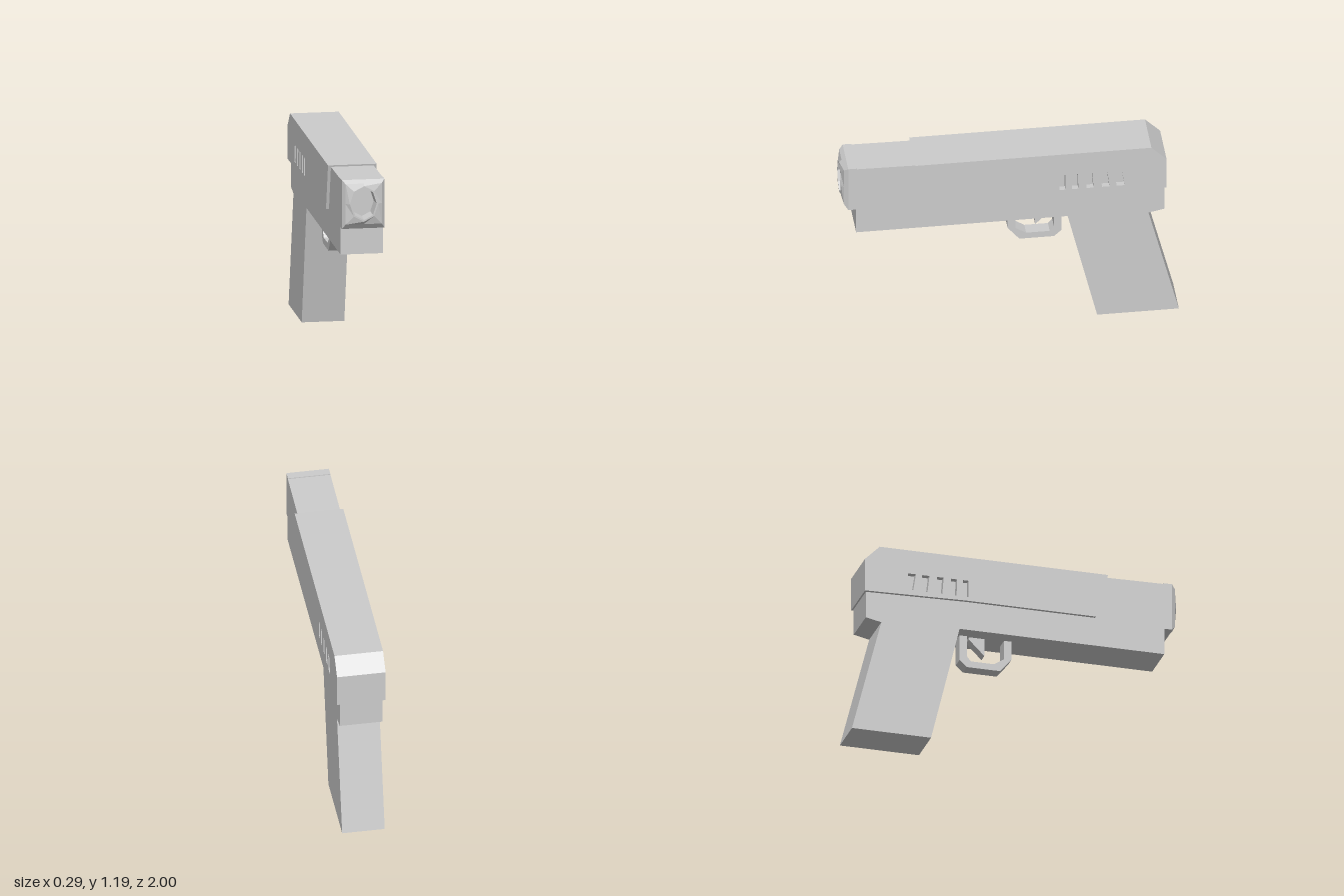
import * as THREE from 'three';

const material = new THREE.MeshStandardMaterial({ color: 0xcccccc, flatShading: true });

function addMesh(parent, name, geometry) {
  const mesh = new THREE.Mesh(geometry, material);
  mesh.name = name;
  parent.add(mesh);
  return mesh;
}

// Side profile given as [z, y] pairs, extruded between two x positions
function slab(profile, x0, x1, holes = []) {
  const toPoints = (list) => list.map(([z, y]) => new THREE.Vector2(z, y));
  const shape = new THREE.Shape(toPoints(profile));
  for (const hole of holes) shape.holes.push(new THREE.Path(toPoints(hole)));
  const geometry = new THREE.ExtrudeGeometry(shape, { depth: x1 - x0, bevelEnabled: false });
  return geometry.rotateY(-Math.PI / 2).translate(x1, 0, 0);
}

// Skin through rings of equal point count, counter-clockwise seen from +z
function skin(rings) {
  const n = rings[0].length;
  const index = [];
  for (let i = 0; i < rings.length - 1; i++) {
    for (let j = 0; j < n; j++) {
      const a = i * n + j, b = i * n + (j + 1) % n;
      index.push(a, b, b + n, a, b + n, a + n);
    }
  }
  const geometry = new THREE.BufferGeometry();
  geometry.setAttribute('position', new THREE.Float32BufferAttribute(rings.flat(2), 3));
  geometry.setIndex(index);
  const flat = geometry.toNonIndexed();
  flat.computeVertexNormals();
  return flat;
}

// Rectangle ring with points at the corners and edge middles
function rectRing(z, halfWidth, y0, y1) {
  const ym = 1.05, w = halfWidth;
  return [[w, ym, z], [w, y1, z], [0, y1, z], [-w, y1, z], [-w, ym, z], [-w, y0, z], [0, y0, z], [w, y0, z]];
}

// Eight-sided ring for the bore
function octRing(z, rx, ry) {
  return Array.from({ length: 8 }, (_, i) => {
    const a = i * Math.PI / 4;
    return [rx * Math.cos(a), 1.05 + ry * Math.sin(a), z];
  });
}

export function createModel() {
  const model = new THREE.Group();
  model.name = 'model';

  // Lower body with raked grip
  addMesh(model, 'frameAndGrip', slab([
    [0.915, 0.73], [0.915, 1.185], [0.55, 1.18], [0.48, 0.92], [-0.3, 0.92], [-0.915, 0.905],
    [-0.915, 0.73], [-0.82, 0.71], [-1, 0], [-0.515, 0], [-0.34, 0.73],
  ], -0.127, 0.127));

  // Upper slide: a core with a slotted plate on each side
  const slide = new THREE.Group();
  slide.name = 'slide';
  model.add(slide);
  const outline = [
    [0.565, 1.19], [-0.835, 1.19], [-0.925, 1.1], [-0.925, 0.895], [-0.3, 0.91], [0.49, 0.91],
  ];
  const slots = [-0.29, -0.36, -0.443, -0.53, -0.613].map((z, i) => {
    const width = 0.035 + i * 0.003, lean = i * 0.004;
    return [[z, 1.04], [z - width, 1.04], [z - width - lean, 0.935], [z - lean, 0.935]];
  });
  addMesh(slide, 'slideCore', slab(outline, -0.11, 0.11));
  addMesh(slide, 'leftSlidePlate', slab(outline, 0.11, 0.145, slots));
  addMesh(slide, 'rightSlidePlate', slab(outline, -0.145, -0.11, slots));

  // Bevelled muzzle block with a recessed bore
  addMesh(model, 'muzzle', skin([
    rectRing(0.91, 0, 1.05, 1.05),
    rectRing(0.91, 0.127, 0.895, 1.19),
    rectRing(0.962, 0.127, 0.895, 1.19),
    rectRing(0.985, 0.108, 0.925, 1.17),
    octRing(1, 0.085, 0.107),
    octRing(1, 0.075, 0.097),
    octRing(0.92, 0.07, 0.09),
    octRing(0.92, 0, 0),
  ]));

  // Trigger guard loop and trigger
  addMesh(model, 'triggerGuard', slab([
    [0.005, 0.74], [0.005, 0.615], [-0.065, 0.53], [-0.27, 0.53], [-0.315, 0.57], [-0.315, 0.74],
    [-0.27, 0.74], [-0.27, 0.6], [-0.245, 0.57], [-0.105, 0.57], [-0.042, 0.61], [-0.042, 0.74],
  ], -0.04, 0.04));
  addMesh(model, 'trigger', slab([
    [-0.16, 0.74], [-0.16, 0.62], [-0.255, 0.715], [-0.255, 0.74],
  ], -0.03, 0.03));

  return model;
}
